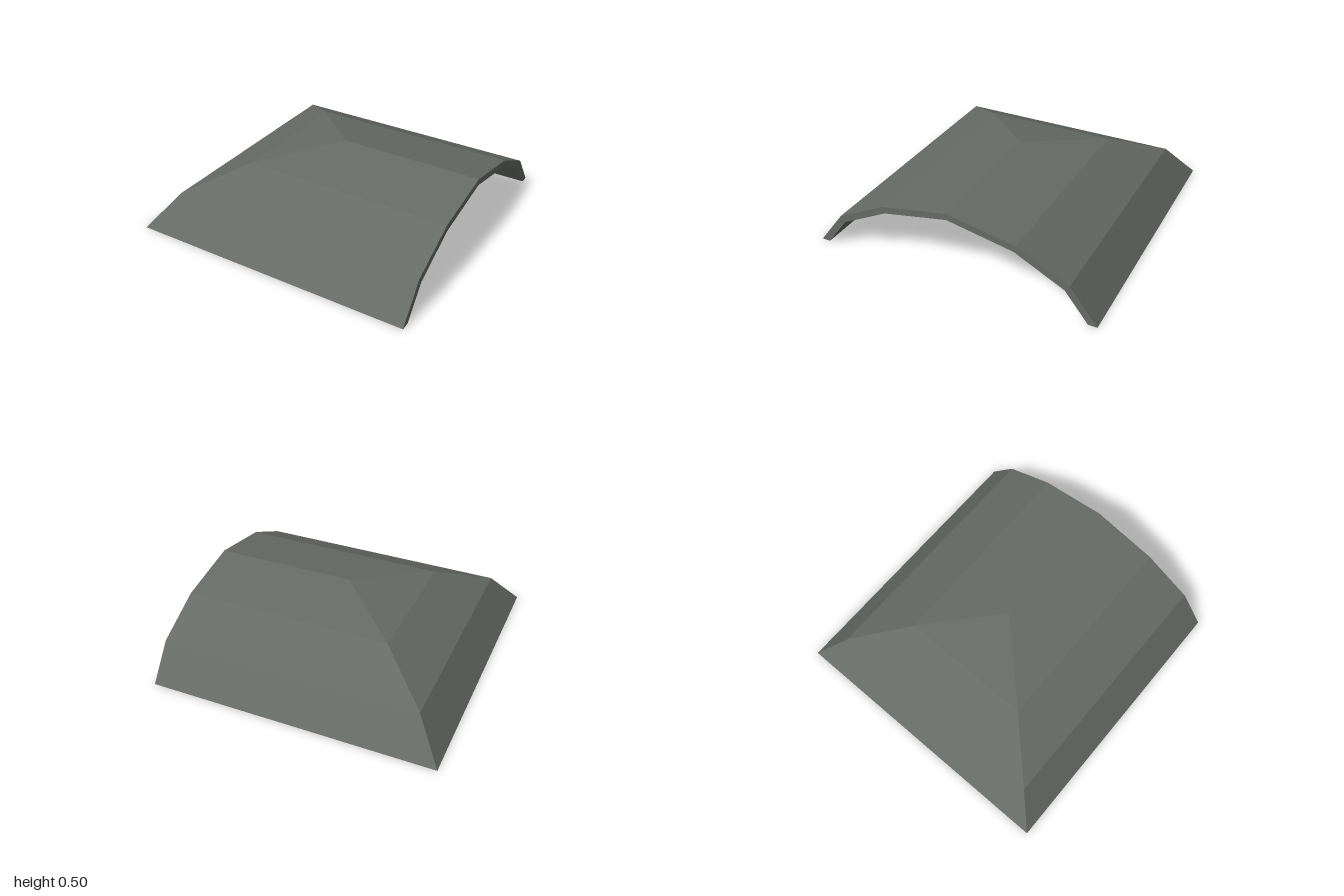
import * as THREE from 'three';

// Cross-section of the shell: [half width, height], eave to ridge
const OUTER = [[1, 0], [0.815, 0.24], [0.468, 0.412], [0, 0.5]];
const INNER = [[0.94, 0], [0.785, 0.2], [0.455, 0.367], [0, 0.455]];
const END = 1; // open gable end

// Path of one section point: along the front, round the hipped end, along the back
const course = ([d, y]) => [[END, y, d], [-d, y, d], [-d, y, -d], [END, y, -d]];

function flatMesh(name, quads, material) {
  const positions = [];
  const same = (p, q) => p.every((v, i) => Math.abs(v - q[i]) < 1e-6);
  const tri = (a, b, c) => {
    if (!same(a, b) && !same(b, c) && !same(a, c)) positions.push(...a, ...b, ...c);
  };
  for (const [a, b, c, d] of quads) {
    tri(a, b, c);
    tri(a, c, d);
  }
  const geometry = new THREE.BufferGeometry();
  geometry.setAttribute('position', new THREE.Float32BufferAttribute(positions, 3));
  geometry.computeVertexNormals();
  const mesh = new THREE.Mesh(geometry, material);
  mesh.name = name;
  return mesh;
}

// Bands of sloping faces joining each section point to the next
function bands(profile) {
  const quads = [];
  for (let i = 0; i < profile.length - 1; i++) {
    const a = course(profile[i]);
    const b = course(profile[i + 1]);
    for (let k = 0; k < 3; k++) quads.push([a[k + 1], a[k], b[k], b[k + 1]]);
  }
  return quads;
}

// Thickness of the shell showing at the open end
function endRim() {
  const quads = [];
  for (let i = 0; i < OUTER.length - 1; i++) {
    for (const side of [1, -1]) {
      const at = ([d, y]) => [END, y, d * side];
      const quad = [OUTER[i], INNER[i], INNER[i + 1], OUTER[i + 1]].map(at);
      quads.push(side > 0 ? quad : quad.reverse());
    }
  }
  return quads;
}

export function createModel() {
  const slate = new THREE.MeshStandardMaterial({ color: 0x676b67 });
  slate.name = 'slate grey';
  slate.flatShading = true;

  const roof = new THREE.Group();
  roof.name = 'hippedRoofEnd';
  roof.add(
    flatMesh('outerSlopes', bands(OUTER), slate),
    flatMesh('innerSlopes', bands([...INNER].reverse()), slate),
    flatMesh('eaveRim', bands([INNER[0], OUTER[0]]), slate),
    flatMesh('openEndRim', endRim(), slate)
  );
  return roof;
}
